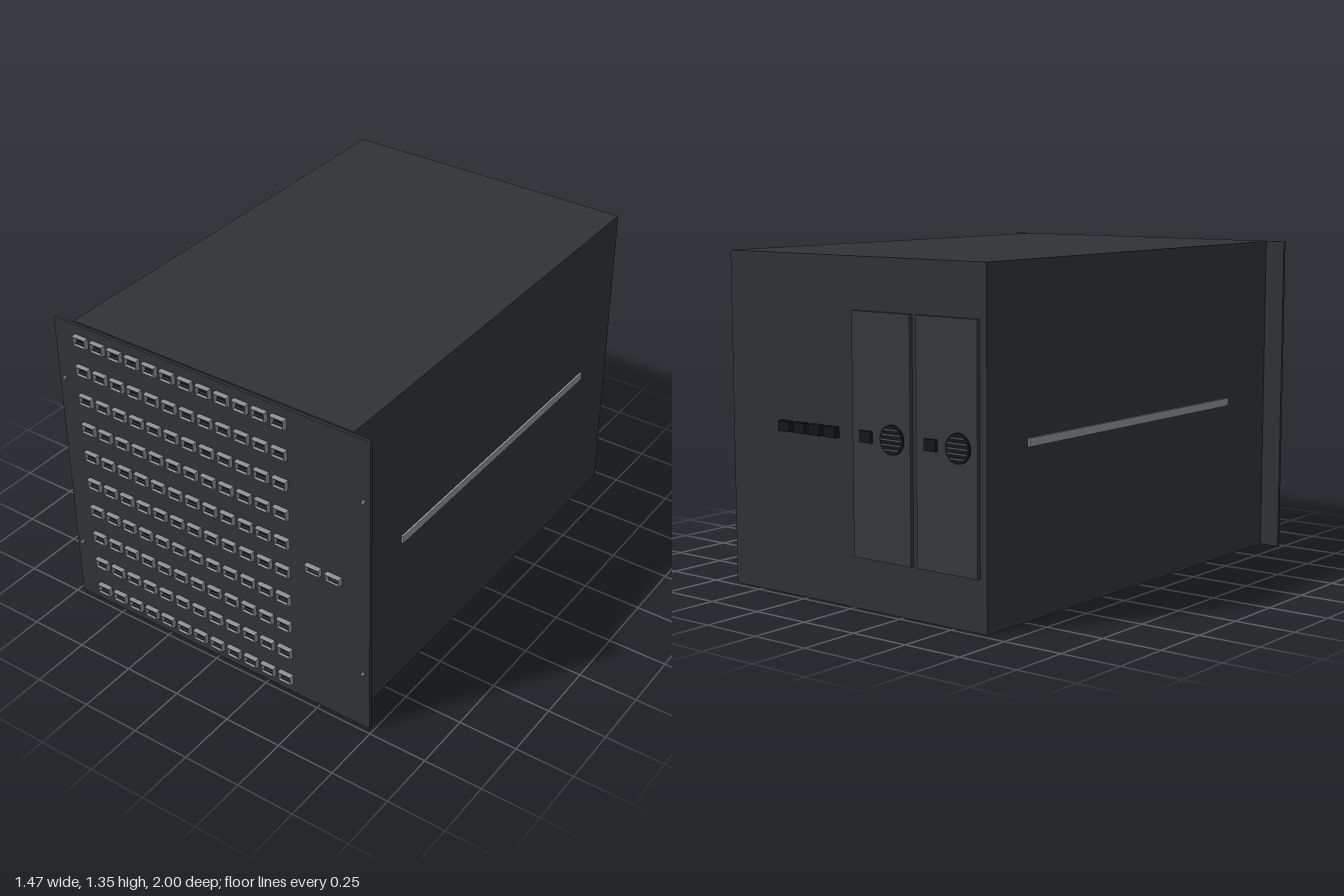
import * as THREE from 'three';

const paint = (color) => new THREE.MeshStandardMaterial({ color });
const dark = paint(0x303236);
const black = paint(0x141619);
const steel = paint(0x8a9296);
const plate = paint(0x34393c);
const slat = paint(0x55595c);

const MID = 0.673; // half of the cabinet height
const PANEL_FRONT = 0.979;

function add(parent, name, geometry, material, x, y, z) {
  const mesh = new THREE.Mesh(geometry, material);
  mesh.name = name;
  mesh.position.set(x, y, z);
  parent.add(mesh);
  return mesh;
}
const box = (w, h, d) => new THREE.BoxGeometry(w, h, d);

function rectangle(path, w, h) {
  path.moveTo(-w / 2, -h / 2);
  path.lineTo(w / 2, -h / 2);
  path.lineTo(w / 2, h / 2);
  path.lineTo(-w / 2, h / 2);
  path.closePath();
  return path;
}

// Front socket: bevelled open frame, dark recess and a thin contact tongue
function socketMaker(w, h) {
  const outline = rectangle(new THREE.Shape(), w - 0.006, h - 0.006);
  outline.holes.push(rectangle(new THREE.Path(), w - 0.01, h - 0.01));
  const frame = new THREE.ExtrudeGeometry(outline, {
    depth: 0.013, bevelEnabled: true, bevelSegments: 1,
    bevelSize: 0.003, bevelThickness: 0.005,
  });
  const recess = box(w - 0.01, h - 0.01, 0.006);
  const tongue = box(w * 0.62, 0.005, 0.012);
  return (parent, x, y) => {
    const socket = new THREE.Group();
    socket.name = 'frontSocket';
    socket.position.set(x, y, PANEL_FRONT);
    add(socket, 'socketFrame', frame, steel, 0, 0, 0.003);
    add(socket, 'socketRecess', recess, black, 0, 0, 0.002);
    add(socket, 'socketTongue', tongue, dark, 0, -h * 0.2, 0.009);
    parent.add(socket);
  };
}

// Rear power module: cover plate, inlet and round slatted fan vent
function powerModule(x) {
  const module = new THREE.Group();
  module.name = 'powerModule';
  module.position.set(x, MID, -0.975);
  add(module, 'coverPlate', box(0.288, 0.94, 0.028), plate, 0, 0, 0);
  add(module, 'powerInlet', box(0.058, 0.045, 0.014), black, 0.072, 0, -0.017);
  const vent = new THREE.CylinderGeometry(0.057, 0.057, 0.012, 32).rotateX(Math.PI / 2);
  add(module, 'fanVent', vent, black, -0.058, 0, -0.017);
  for (let i = -2; i <= 2; i++) {
    const y = i * 0.019;
    const width = 2 * Math.sqrt(0.05 ** 2 - y ** 2);
    add(module, 'ventSlat', box(width, 0.004, 0.004), slat, -0.058, y, -0.023);
  }
  return module;
}

export function createModel() {
  const model = new THREE.Group();
  model.name = 'rackCabinet';

  // Main shell and wider front panel
  add(model, 'cabinetBody', box(1.3, 1.345, 1.933), dark, 0, MID, -0.0075);
  add(model, 'frontPanel', box(1.466, 1.345, 0.013), dark, 0, MID, PANEL_FRONT - 0.0065);

  // Socket grid: ten rows of twelve
  const gridSocket = socketMaker(0.064, 0.044);
  for (let row = 0; row < 10; row++) {
    for (let col = 0; col < 12; col++) {
      gridSocket(model, -0.596 + col * 0.0852, 0.068 + row * 0.135);
    }
  }

  // Pair of separate sockets
  const sideSocket = socketMaker(0.067, 0.035);
  for (const x of [0.484, 0.576]) sideSocket(model, x, 0.675);

  // Mounting screws and side rails
  const screw = new THREE.CylinderGeometry(0.007, 0.007, 0.012, 16).rotateX(Math.PI / 2);
  for (const side of [-1, 1]) {
    for (const y of [0.27, 1.08]) {
      add(model, 'mountingScrew', screw, steel, side * 0.705, y, PANEL_FRONT + 0.003);
    }
    add(model, 'sideRail', box(0.014, 0.032, 1.385), steel, side * 0.652, 0.675, -0.043);
  }

  // Rear modules and row of four connectors
  for (const x of [-0.474, -0.156]) model.add(powerModule(x));
  for (let i = 0; i < 4; i++) {
    add(model, 'rearConnector', box(0.06, 0.042, 0.03), black, 0.102 + i * 0.081, MID, -0.985);
  }
  return model;
}
